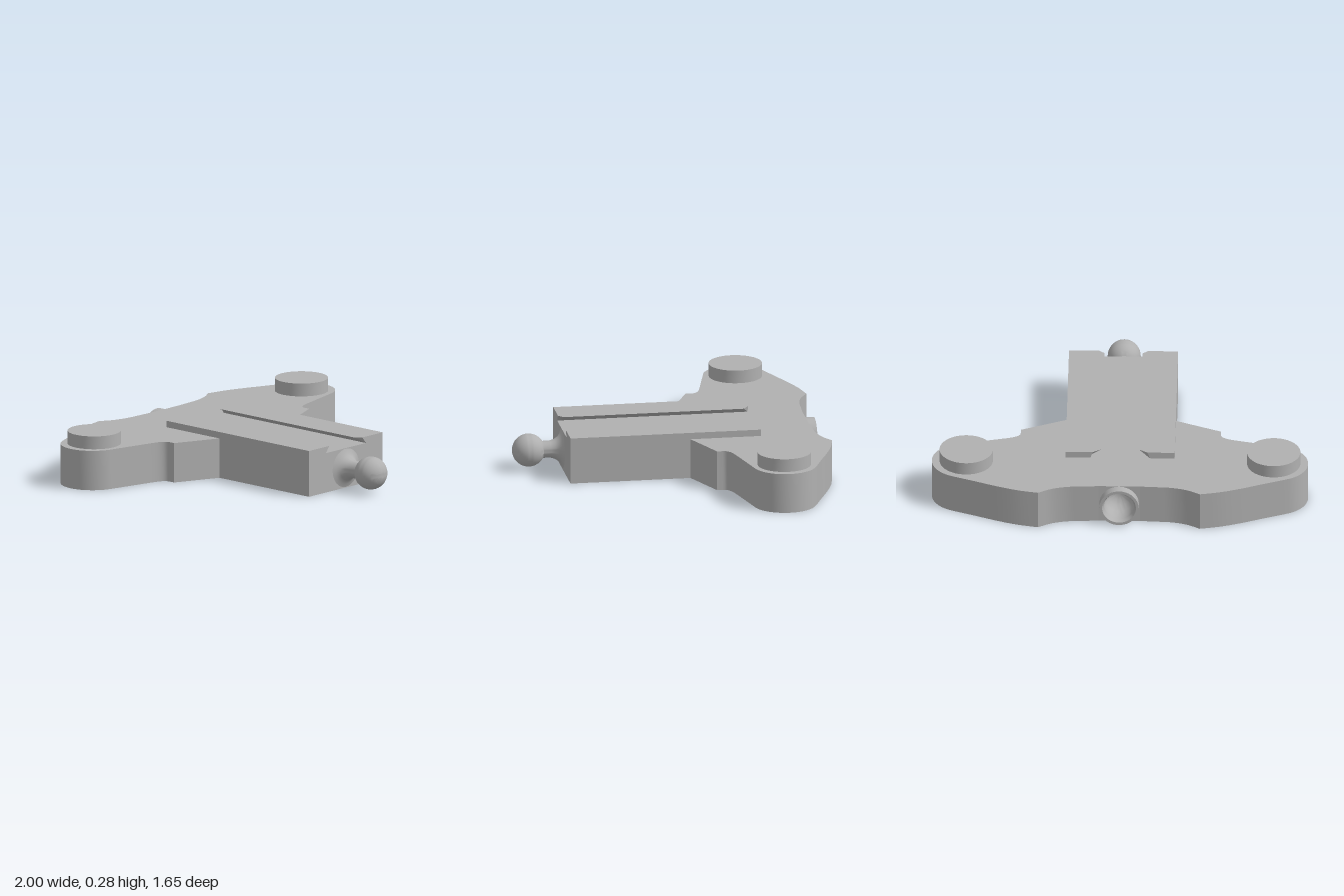
import * as THREE from 'three';
import { toCreasedNormals } from 'three/addons/utils/BufferGeometryUtils.js';

const THICK = 0.215; // plate thickness
const AXIS_Y = 0.108; // height of ball and socket axis

const v2 = ([x, z]) => new THREE.Vector2(x, z);

// Extrude a plan outline given as (x, z) points upward from y
function slab(points, y, height) {
  const shape = new THREE.Shape(points.map((p) => new THREE.Vector2(p.x, -p.y)));
  const geo = new THREE.ExtrudeGeometry(shape, { depth: height, bevelEnabled: false });
  return geo.rotateX(-Math.PI / 2).translate(0, y, 0);
}

function arc(cx, cy, r, from, to, n) {
  return Array.from({ length: n + 1 }, (_, i) => {
    const a = from + ((to - from) * i) / n;
    return new THREE.Vector2(cx + r * Math.cos(a), cy + r * Math.sin(a));
  });
}

export function createModel() {
  const group = new THREE.Group();
  const grey = new THREE.MeshStandardMaterial({ color: 0xb0b0b0 });
  grey.name = 'grey';
  const add = (name, geo, crease = 0.5) => {
    const mesh = new THREE.Mesh(toCreasedNormals(geo, crease), grey);
    mesh.name = name;
    group.add(mesh);
    return mesh;
  };

  // T-shaped base: half outline from the back centre round to the front
  const notch = new THREE.SplineCurve(
    [[0.11, -0.757], [0.2, -0.762], [0.28, -0.768], [0.36, -0.79], [0.43, -0.83]].map(v2));
  const shoulder = new THREE.SplineCurve(
    [[0.43, -0.83], [0.54, -0.806], [0.65, -0.768], [0.77, -0.718], [0.9, -0.666]].map(v2));
  const half = [
    v2([0.11, -0.64]),
    ...notch.getPoints(14),
    ...shoulder.getPoints(14).slice(1, -1),
    ...arc(0.83, -0.51, 0.17, -1.16, 1.4, 28), // rounded wing tip
    ...new THREE.CubicBezierCurve(
      v2([0.62, -0.285]), v2([0.57, -0.273]), v2([0.53, -0.26]), v2([0.532, -0.225])).getPoints(8),
    v2([0.532, -0.195]),
    v2([0.29, -0.09]),
    v2([0.29, 0.555]),
  ];
  const mirrored = half.map((p) => new THREE.Vector2(-p.x, p.y)).reverse();
  add('base', slab([...half, ...mirrored], 0, THICK));

  // Block with a round hole that carries the socket at the back
  const block = new THREE.Shape([[-0.11, 0], [0.11, 0], [0.11, THICK], [-0.11, THICK]].map(v2));
  const hole = new THREE.Path();
  hole.absarc(0, AXIS_Y, 0.1, 0, Math.PI * 2, true);
  block.holes.push(hole);
  add('socketBlock', new THREE.ExtrudeGeometry(block,
    { depth: 0.117, bevelEnabled: false, curveSegments: 32 }).translate(0, 0, -0.757));

  // Hollow socket, opening to the back
  const socketProfile = [
    [0.105, 0.72], [0.105, 0.805], [0.09, 0.805], [0.08, 0.785],
    [0.083, 0.75], [0.077, 0.712], [0.058, 0.68], [0.032, 0.662], [0, 0.656],
  ].map(v2);
  const socket = add('socket', new THREE.LatheGeometry(socketProfile, 48).rotateX(-Math.PI / 2));
  socket.position.y = AXIS_Y;

  // Flared neck and ball at the front
  const neckProfile = [
    [0.107, 0.554], [0.085, 0.562], [0.066, 0.576], [0.053, 0.596],
    [0.046, 0.62], [0.045, 0.67],
  ].map(v2);
  const neck = add('ballNeck', new THREE.LatheGeometry(neckProfile, 40).rotateX(Math.PI / 2), 0.7);
  const ball = add('ball', new THREE.SphereGeometry(0.088, 40, 28).rotateX(Math.PI / 2));
  neck.position.y = AXIS_Y;
  ball.position.set(0, AXIS_Y, 0.735);

  for (const s of [1, -1]) {
    const side = s > 0 ? 'left' : 'right';

    // Round pad on the wing
    const pad = add(side + 'Pad', new THREE.CylinderGeometry(0.142, 0.142, 0.07, 48));
    pad.position.set(s * 0.817, THICK + 0.035, -0.51);

    // Dovetail rail: inner wall undercut towards the base
    const outline = [[0.29, 0.555], [0.13, 0.555], [0.1, 0.53], [0.1, -0.44], [0.145, -0.47], [0.29, -0.47]];
    const rail = slab(outline.map(([x, z]) => new THREE.Vector2(s * x, z)), THICK, 0.035);
    const pos = rail.attributes.position;
    for (let i = 0; i < pos.count; i++) {
      if (pos.getY(i) < THICK + 0.01 && Math.abs(pos.getX(i)) < 0.2) pos.setX(i, s * 0.158);
    }
    add(side + 'Rail', rail, 0.2);
  }
  return group;
}
